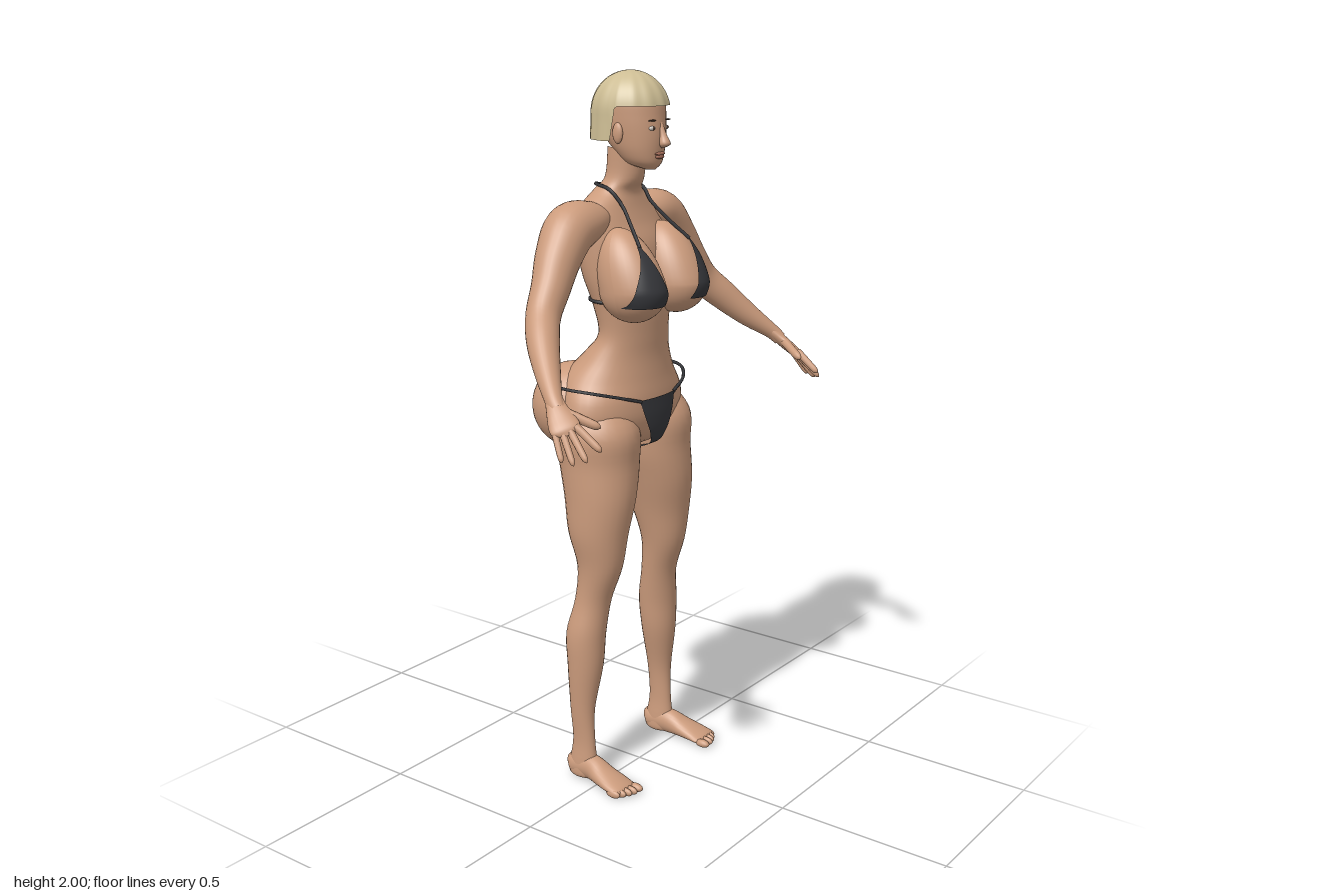
import * as THREE from 'three';

const mat = (name, color, side = THREE.FrontSide) => {
  const m = new THREE.MeshStandardMaterial({ color, side });
  m.name = name;
  return m;
};
const V = (x, y, z) => new THREE.Vector3(x, y, z);

export function createModel() {
  const model = new THREE.Group();
  const skin = mat('skin', 0xcb9b7c);
  const cloth = mat('charcoal cloth', 0x36373b, THREE.DoubleSide);
  const blond = mat('blond hair', 0xcdbd94, THREE.DoubleSide);
  const lipTone = mat('lips', 0xa9705c);
  const white = mat('eye white', 0xd8d0c8);
  const dark = mat('dark brown', 0x4a382e);

  const add = (name, geometry, material) => {
    const mesh = new THREE.Mesh(geometry, material);
    mesh.name = name;
    model.add(mesh);
    return mesh;
  };

  // Surface from a function of (u, v); closed surfaces wrap around in u
  const grid = (nu, nv, f, closed = false) => {
    const pos = [], idx = [], cols = closed ? nu : nu + 1;
    for (let i = 0; i <= nv; i++)
      for (let j = 0; j < cols; j++) pos.push(...f(j / nu, i / nv));
    for (let i = 0; i < nv; i++)
      for (let j = 0; j < nu; j++) {
        const k = (j + 1) % cols, a = i * cols, b = a + cols;
        idx.push(a + j, a + k, b + j, a + k, b + k, b + j);
      }
    const g = new THREE.BufferGeometry();
    g.setAttribute('position', new THREE.Float32BufferAttribute(pos, 3));
    g.setIndex(idx);
    g.computeVertexNormals();
    return g;
  };

  // Smooth limb through rows of [x, y, z, radius across, radius along ref]
  const loft = (name, material, rows, { ref = V(0, 0, 1), level = false, s = 1, n = 28, steps = 5 } = {}) => {
    const centre = new THREE.CatmullRomCurve3(rows.map(r => V(r[0] * s, r[1], r[2])), false, 'catmullrom');
    const radius = new THREE.CatmullRomCurve3(rows.map(r => V(r[3], r[4], 0)), false, 'catmullrom');
    const up = Math.sign(rows[rows.length - 1][1] - rows[0][1]);
    return add(name, grid(n, (rows.length - 1) * steps, (u, v) => {
      const c = centre.getPoint(v), r = radius.getPoint(v), a = u * Math.PI * 2;
      const t = level ? V(0, up, 0) : centre.getTangent(v);
      const w = ref.clone().addScaledVector(t, -ref.dot(t)).normalize();
      const side = w.clone().cross(t);
      c.addScaledVector(side, Math.cos(a) * Math.max(r.x, 0.0005));
      c.addScaledVector(w, Math.sin(a) * Math.max(r.y, 0.0005));
      return c.toArray();
    }, true), material);
  };

  const ball = (name, material, [x, y, z], [rx, ry, rz], n = 16) =>
    add(name, new THREE.SphereGeometry(1, n * 2, n).scale(rx, ry, rz).translate(x, y, z), material);

  const cord = (name, points, closed = false) =>
    add(name, new THREE.TubeGeometry(new THREE.CatmullRomCurve3(points, closed), 48, 0.0048, 6, closed), cloth);

  // Torso and neck
  loft('torso', skin, [
    [0, 0.97, -0.05, 0.02, 0.02], [0, 1.0, -0.05, 0.13, 0.09], [0, 1.06, -0.06, 0.215, 0.125],
    [0, 1.12, -0.06, 0.216, 0.127], [0, 1.18, -0.07, 0.186, 0.13], [0, 1.24, -0.045, 0.148, 0.1],
    [0, 1.3, -0.02, 0.125, 0.077], [0, 1.38, -0.026, 0.135, 0.085], [0, 1.46, -0.045, 0.155, 0.09],
    [0, 1.54, -0.06, 0.165, 0.092], [0, 1.6, -0.075, 0.168, 0.08], [0, 1.65, -0.078, 0.13, 0.066],
    [0, 1.685, -0.073, 0.078, 0.057], [0, 1.72, -0.05, 0.052, 0.054], [0, 1.8, -0.04, 0.05, 0.055],
  ], { level: true, n: 40 });

  // Head and face
  loft('head', skin, [
    [0, 1.743, 0.035, 0.012, 0.016], [0, 1.76, 0.014, 0.044, 0.05], [0, 1.79, 0, 0.061, 0.07],
    [0, 1.83, -0.015, 0.071, 0.089], [0, 1.88, -0.025, 0.077, 0.098], [0, 1.93, -0.03, 0.076, 0.098],
    [0, 1.97, -0.03, 0.052, 0.07], [0, 1.985, -0.03, 0.003, 0.003],
  ], { level: true, n: 36 });
  loft('nose', skin, [
    [0, 1.87, 0.066, 0.007, 0.007], [0, 1.835, 0.077, 0.009, 0.011], [0, 1.812, 0.084, 0.015, 0.015],
    [0, 1.801, 0.076, 0.004, 0.004],
  ], { level: true, n: 14 });
  ball('upperLip', lipTone, [0, 1.786, 0.067], [0.021, 0.005, 0.009], 8);
  ball('lowerLip', lipTone, [0, 1.778, 0.066], [0.018, 0.006, 0.009], 8);

  // Bob haircut: short fringe in front, long at the sides and back, with soft locks
  add('hair', grid(96, 24, (u, v) => {
    const a = u * Math.PI * 2, front = Math.cos(a);
    const bottom = 1.82 + 0.09 * THREE.MathUtils.smoothstep(front, 0.05, 0.22);
    const y = 2 - (2 - bottom) * v * v, h = Math.min((2 - y) / 0.11, 1);
    const r = Math.sqrt(1 - (1 - h) ** 2) * (1 + 0.012 * Math.cos(14 * a)) * (1 + 0.4 * Math.max(1.88 - y, 0));
    return [Math.sin(a) * r * 0.1, y, -0.03 + front * r * 0.11];
  }, true), blond);

  // Bust: a sphere drawn out upwards and leaning back; the cup follows the same rule
  const bust = { x: 0.095, y: 1.435, z: 0.05, rx: 0.082, rz: 0.097 };
  const bustRy = up => (up > 0 ? 0.16 : 0.09);
  const bustZ = (depth, dy) => bust.z + bust.rz * depth - 0.3 * Math.max(dy, 0);

  for (const s of [1, -1]) {
    const side = s > 0 ? 'left' : 'right';

    const g = new THREE.SphereGeometry(1, 36, 28), p = g.attributes.position;
    for (let i = 0; i < p.count; i++) {
      const dy = p.getY(i) * bustRy(p.getY(i));
      p.setXYZ(i, s * (bust.x + p.getX(i) * s * bust.rx), bust.y + dy, bustZ(p.getZ(i), dy));
    }
    g.computeVertexNormals();
    add(side + 'Breast', g, skin);

    add(side + 'Cup', grid(18, 18, (u, v) => {
      const y = 1.395 + 0.157 * v, dy = y - bust.y;
      const inner = THREE.MathUtils.lerp(0.056, 0.108, v);
      const outer = THREE.MathUtils.lerp(0.168, 0.117, v) + 0.016 * Math.sin(v * Math.PI) * (1 - v);
      const x = THREE.MathUtils.lerp(inner, outer, u);
      const k = 1 - ((x - bust.x) / bust.rx) ** 2 - (dy / bustRy(dy)) ** 2;
      return [s * x * 1.01, y, bustZ(Math.sqrt(Math.max(k, 0)), dy) + 0.005];
    }), cloth);

    cord(side + 'NeckStrap', [V(s * 0.113, 1.55, 0.086), V(s * 0.085, 1.6, 0.036), V(s * 0.065, 1.65, -0.01),
      V(s * 0.071, 1.688, -0.045), V(s * 0.052, 1.7, -0.108), V(0, 1.693, -0.133)]);
    cord(side + 'HipString', [V(s * 0.075, 1.122, 0.062), V(s * 0.15, 1.145, 0.042), V(s * 0.21, 1.162, -0.01),
      V(s * 0.226, 1.166, -0.08), V(s * 0.205, 1.166, -0.17), V(s * 0.14, 1.157, -0.246),
      V(s * 0.06, 1.13, -0.261), V(s * 0.02, 1.118, -0.248)]);

    // Hips and leg
    ball(side + 'Buttock', skin, [s * 0.101, 1.09, -0.15], [0.12, 0.122, 0.119], 20);
    loft(side + 'Leg', skin, [
      [0.11, 1.15, -0.06, 0.05, 0.05], [0.121, 1.05, -0.06, 0.109, 0.125], [0.122, 0.95, -0.048, 0.107, 0.116],
      [0.135, 0.85, -0.035, 0.094, 0.104], [0.147, 0.75, -0.033, 0.079, 0.088], [0.15, 0.65, -0.026, 0.06, 0.066],
      [0.157, 0.55, -0.045, 0.052, 0.052], [0.172, 0.45, -0.06, 0.056, 0.057], [0.177, 0.35, -0.06, 0.05, 0.052],
      [0.187, 0.22, -0.064, 0.031, 0.038], [0.187, 0.12, -0.06, 0.024, 0.036], [0.187, 0.05, -0.062, 0.029, 0.045],
      [0.187, 0.012, -0.064, 0.028, 0.044], [0.187, 0.001, -0.064, 0.002, 0.002],
    ], { level: true, s });

    // Foot and toes
    loft(side + 'Foot', skin, [
      [0.187, 0.03, -0.113, 0.004, 0.008], [0.187, 0.036, -0.095, 0.027, 0.034], [0.188, 0.04, -0.03, 0.031, 0.038],
      [0.195, 0.03, 0.02, 0.039, 0.028], [0.2, 0.02, 0.07, 0.045, 0.018], [0.2, 0.014, 0.1, 0.04, 0.011],
      [0.2, 0.013, 0.108, 0.002, 0.002],
    ], { ref: V(0, 1, 0), s });
    [[0.168, 0.112, 0.013], [0.19, 0.11, 0.009], [0.207, 0.104, 0.009], [0.223, 0.095, 0.009], [0.238, 0.084, 0.009]]
      .forEach(([x, z, r], i) => ball(`${side}Toe${i + 1}`, skin, [s * x, 0.012, z], [r, 0.012, 0.024], 8));

    // Shoulder, arm and wrist
    loft(side + 'Arm', skin, [
      [0.05, 1.62, -0.08, 0.02, 0.04], [0.13, 1.61, -0.08, 0.056, 0.068], [0.2, 1.592, -0.08, 0.069, 0.071],
      [0.26, 1.53, -0.07, 0.062, 0.062], [0.31, 1.46, -0.055, 0.053, 0.052], [0.36, 1.395, -0.04, 0.047, 0.046],
      [0.41, 1.34, 0, 0.043, 0.043], [0.46, 1.28, 0.055, 0.034, 0.034], [0.505, 1.23, 0.11, 0.022, 0.024],
      [0.52, 1.205, 0.135, 0.018, 0.022],
    ], { s });

    // Hand, fingers and thumb
    loft(side + 'Palm', skin, [
      [0.5, 1.235, 0.105, 0.015, 0.02], [0.518, 1.208, 0.132, 0.016, 0.027], [0.53, 1.185, 0.157, 0.015, 0.036],
      [0.541, 1.165, 0.18, 0.012, 0.037], [0.547, 1.155, 0.192, 0.002, 0.01],
    ], { ref: V(0.065 * s, -0.02, -0.07), s, n: 20 });
    const digit = (name, from, to, r) => {
      const at = (t, k) => [0, 1, 2].map(i => from[i] + (to[i] - from[i]) * t).concat(r * k, r * k);
      loft(name, skin, [at(0, 1), at(0.5, 0.95), at(0.88, 0.8), at(1, 0.05)], { ref: V(1, 0, 0), s, n: 10, steps: 3 });
    };
    [[0.515, 1.12, 0.27], [0.552, 1.098, 0.254], [0.572, 1.09, 0.228], [0.58, 1.095, 0.198]].forEach((tip, i) => {
      const k = i / 3;
      digit(`${side}Finger${i + 1}`, [0.522 + 0.036 * k, 1.174 - 0.014 * k, 0.196 - 0.038 * k], tip, 0.0105 - 0.002 * k);
    });
    digit(side + 'Thumb', [0.517, 1.205, 0.145], [0.472, 1.165, 0.235], 0.013);

    // Eye, brow and ear
    ball(side + 'Eye', white, [s * 0.03, 1.853, 0.064], [0.013, 0.006, 0.006], 8);
    ball(side + 'Iris', dark, [s * 0.03, 1.853, 0.068], [0.005, 0.005, 0.003], 8);
    ball(side + 'Brow', dark, [s * 0.032, 1.873, 0.066], [0.017, 0.0025, 0.005], 8);
    ball(side + 'Ear', skin, [s * 0.076, 1.84, -0.015], [0.009, 0.028, 0.016], 8);
  }

  // Band under the bust
  cord('chestBand', Array.from({ length: 24 }, (_, i) => {
    const a = i / 24 * Math.PI * 2;
    return V(0.141 * Math.cos(a), 1.397, -0.03 + 0.09 * Math.sin(a));
  }), true);

  // Bikini bottom: one strip running from the front, underneath and up the back
  const strip = new THREE.CatmullRomCurve3([
    [1.125, 0.071, 0.08], [1.07, 0.073, 0.06], [1.02, 0.067, 0.036], [0.985, 0.042, 0.02], [0.962, -0.05, 0.018],
    [0.985, -0.15, 0.02], [1.04, -0.228, 0.022], [1.09, -0.249, 0.028], [1.125, -0.251, 0.036],
  ].map(([y, z, w]) => V(w, y, z)), false, 'catmullrom');
  add('bikiniBottom', grid(12, 48, (u, v) => {
    const c = strip.getPoint(v), x = (u * 2 - 1) * c.x;
    return [x, c.y, c.z - 1.5 * x * x];
  }), cloth);

  return model;
}
